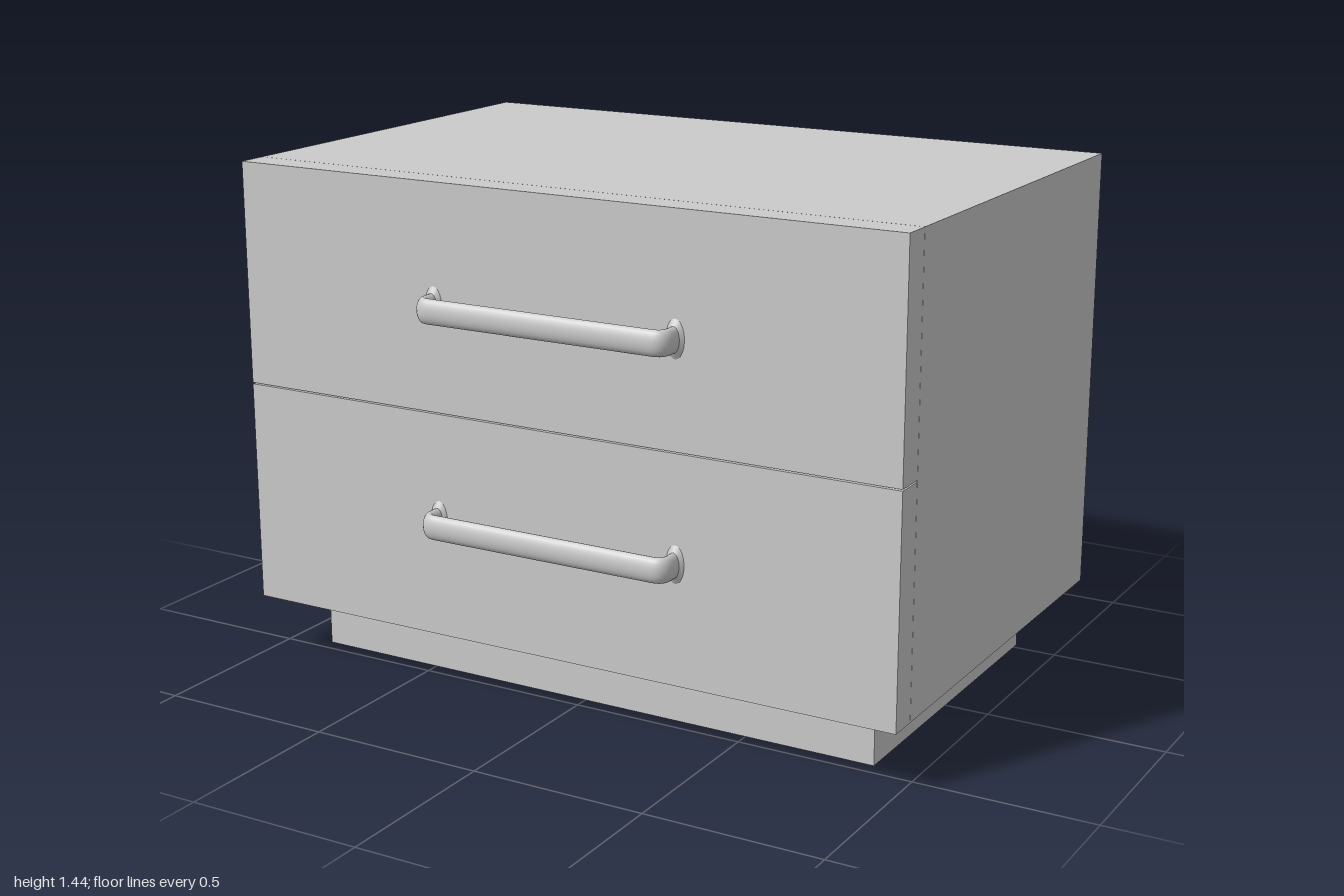
import * as THREE from 'three';

const material = new THREE.MeshStandardMaterial({ color: 0xcccccc });

// Box given by its minimum and maximum corners
function box(name, [x0, y0, z0], [x1, y1, z1]) {
  const mesh = new THREE.Mesh(new THREE.BoxGeometry(x1 - x0, y1 - y0, z1 - z0), material);
  mesh.position.set((x0 + x1) / 2, (y0 + y1) / 2, (z0 + z1) / 2);
  mesh.name = name;
  return mesh;
}

// Bow handle: a tube with rounded corners, stretched to an oval section
function handle(y, zFront) {
  const group = new THREE.Group();
  group.name = 'handle';
  const v = (x, z) => new THREE.Vector3(x, 0, z);
  const w = 0.369, d = 0.064, r = 0.03, radius = 0.018;
  const path = new THREE.CurvePath();
  path.add(new THREE.LineCurve3(v(-w, -0.005), v(-w, d - r)));
  path.add(new THREE.QuadraticBezierCurve3(v(-w, d - r), v(-w, d), v(-w + r, d)));
  path.add(new THREE.LineCurve3(v(-w + r, d), v(w - r, d)));
  path.add(new THREE.QuadraticBezierCurve3(v(w - r, d), v(w, d), v(w, d - r)));
  path.add(new THREE.LineCurve3(v(w, d - r), v(w, -0.005)));
  const bar = new THREE.Mesh(new THREE.TubeGeometry(path, 140, radius, 20), material);
  bar.name = 'handleBar';
  group.add(bar);
  // Flared feet where the bar meets the drawer
  for (const side of [-1, 1]) {
    const foot = new THREE.Mesh(new THREE.CylinderGeometry(radius, 0.027, 0.01, 20), material);
    foot.rotation.x = Math.PI / 2;
    foot.position.set(side * w, 0, 0.005);
    foot.name = 'handleFoot';
    group.add(foot);
  }
  group.scale.y = 1.95;
  group.position.set(0, y, zFront);
  return group;
}

export function createModel() {
  const model = new THREE.Group();
  model.name = 'nightstand';
  const bottom = 0.17, top = 1.435, split = 0.805, gap = 0.002;
  const zJoint = 0.522, zFront = 0.608;

  // Recessed plinth and cabinet
  model.add(box('plinth', [-0.875, 0, -0.52], [0.875, bottom, 0.46]));
  model.add(box('cabinet', [-1, bottom, -0.694], [1, top, zJoint]));

  // Two full-width drawer fronts with handles
  const drawers = [
    ['lowerDrawerFront', bottom, split - gap, 0.505],
    ['upperDrawerFront', split + gap, top, 1.102],
  ];
  for (const [name, y0, y1, handleY] of drawers) {
    model.add(box(name, [-1, y0, zJoint + 0.001], [1, y1, zFront]));
    model.add(handle(handleY, zFront));
  }
  return model;
}
